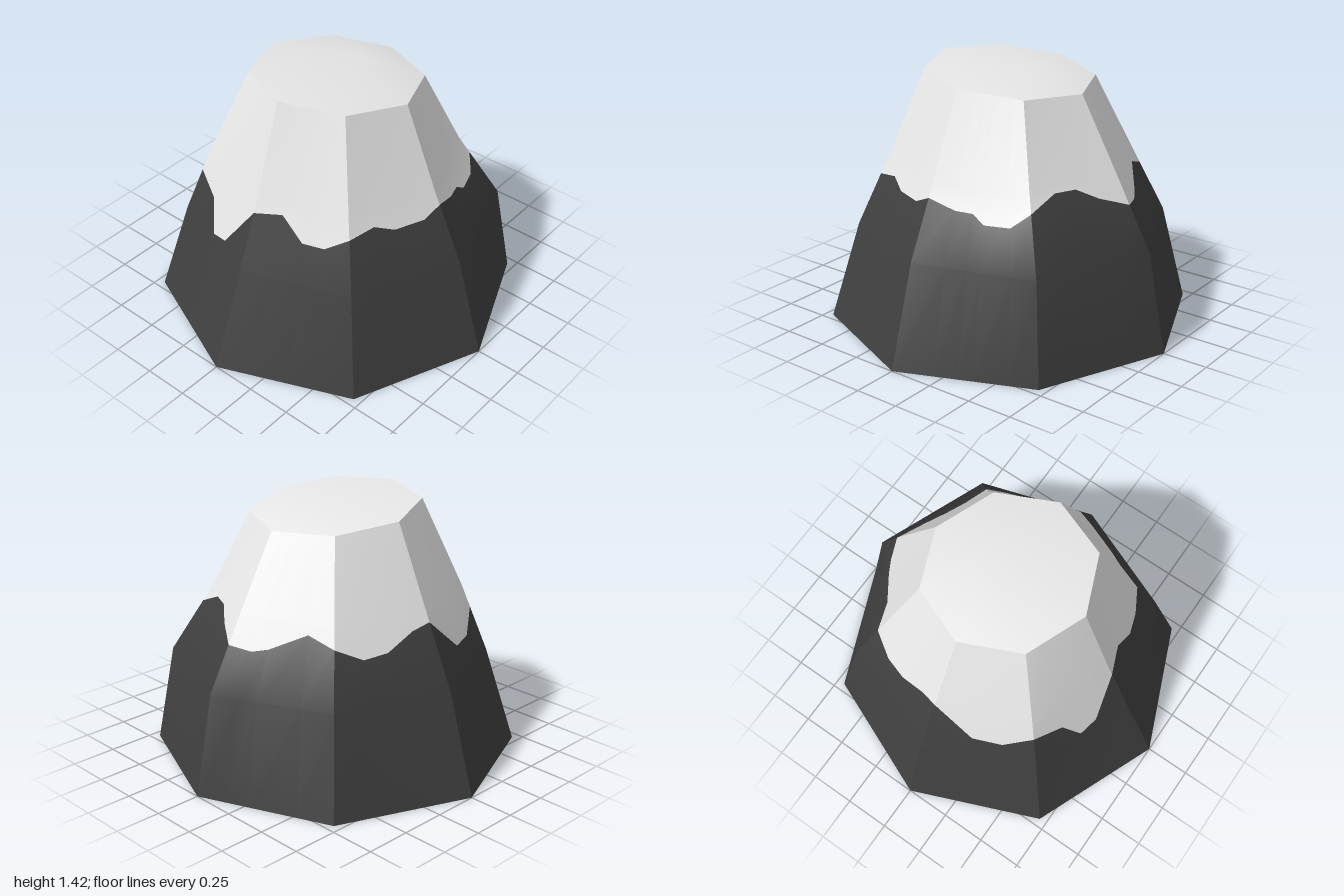
import * as THREE from 'three';
import { mergeGeometries } from 'three/addons/utils/BufferGeometryUtils.js';

const SIDES = 8, TOP_R = 0.457;
// Corner radii at heights 0, MID and HIGH, starting at +z and turning towards +x
const MID = 0.54, HIGH = 0.92;
const corners = [
  [1, 0.78, 0.63], [1, 0.835, 0.66], [1, 0.835, 0.65], [1, 0.9, 0.66],
  [1, 0.89, 0.68], [1, 0.86, 0.665], [1, 0.835, 0.66], [1, 0.83, 0.68],
];
// Snow line of each side: [fraction along the side, height]
const snowLine = [
  [[0, 0.84], [0.3, 0.865], [0.53, 0.75], [0.75, 0.75], [1, 0.82]],
  [[0, 0.82], [0.27, 0.845], [0.48, 0.8], [0.8, 0.8], [1, 0.845]],
  [[0, 0.845], [0.28, 0.8], [0.45, 0.795], [0.56, 0.75], [0.8, 0.75], [1, 0.82]],
  [[0, 0.82], [0.27, 0.89], [0.5, 0.89], [0.72, 0.83], [1, 0.775]],
  [[0, 0.775], [0.23, 0.76], [0.38, 0.78], [0.74, 0.87], [1, 0.82]],
  [[0, 0.82], [0.28, 0.755], [0.52, 0.77], [0.8, 0.85], [1, 0.88]],
  [[0, 0.88], [0.42, 0.685], [0.7, 0.685], [1, 0.79]],
  [[0, 0.79], [0.33, 0.72], [0.5, 0.56], [0.68, 0.585], [1, 0.84]],
];

// Top rim leans down towards the back
const topPoint = (i) => {
  const a = (i * Math.PI * 2) / SIDES;
  const z = TOP_R * Math.cos(a);
  return new THREE.Vector3(TOP_R * Math.sin(a), 1.363 + 0.115 * z, z);
};

// Point on a corner ridge at height y
function ridge(i, y) {
  const k = i % SIDES, [r0, r1, r2] = corners[k], top = topPoint(k);
  const r = y < MID ? THREE.MathUtils.mapLinear(y, 0, MID, r0, r1)
    : y < HIGH ? THREE.MathUtils.mapLinear(y, MID, HIGH, r1, r2)
    : THREE.MathUtils.mapLinear(y, HIGH, top.y, r2, TOP_R);
  const a = (k * Math.PI * 2) / SIDES;
  return new THREE.Vector3(r * Math.sin(a), y, r * Math.cos(a));
}

// Indexed surface through columns of points, smooth inside each side
function surface(columns) {
  const rows = columns[0].length, index = [];
  for (let c = 0; c < columns.length - 1; c++) {
    for (let r = 0; r < rows - 1; r++) {
      const a = c * rows + r, b = a + rows;
      index.push(a, b, b + 1, a, b + 1, a + 1);
    }
  }
  const g = new THREE.BufferGeometry().setFromPoints(columns.flat());
  g.setIndex(index);
  g.computeVertexNormals();
  return g;
}

// Disc fanned out from a centre point
function fan(center, ring, up) {
  const index = [];
  for (let i = 0; i < SIDES; i++) {
    const a = i + 1, b = ((i + 1) % SIDES) + 1;
    index.push(0, up ? a : b, up ? b : a);
  }
  const g = new THREE.BufferGeometry().setFromPoints([center, ...ring]);
  g.setIndex(index);
  g.computeVertexNormals();
  return g;
}

export function createModel() {
  const rock = new THREE.MeshStandardMaterial({ color: 0x3f3f3f });
  rock.name = 'darkRock';
  const snow = new THREE.MeshStandardMaterial({ color: 0xe8e8e8 });
  snow.name = 'snow';

  const group = new THREE.Group();
  group.name = 'mountain';
  const add = (name, geometry, material) => {
    const mesh = new THREE.Mesh(geometry, material);
    mesh.name = name;
    group.add(mesh);
  };

  // Eight sides, each split along its jagged snow line
  const rockSides = [], snowSides = [];
  snowLine.forEach((line, i) => {
    const at = (u, y) => ridge(i, y).lerp(ridge(i + 1, y), u);
    rockSides.push(surface(line.map(([u, y]) => [at(u, 0), at(u, MID), at(u, y)])));
    snowSides.push(surface(line.map(([u, y]) =>
      [at(u, y), at(u, HIGH), topPoint(i).lerp(topPoint(i + 1), u)])));
  });
  add('rockSlopes', mergeGeometries(rockSides), rock);
  add('snowSlopes', mergeGeometries(snowSides), snow);

  // Slightly domed summit and flat underside
  const rim = [], foot = [];
  for (let i = 0; i < SIDES; i++) {
    rim.push(topPoint(i));
    foot.push(ridge(i, 0));
  }
  add('summit', fan(new THREE.Vector3(0, 1.405, -0.15), rim, true), snow);
  add('underside', fan(new THREE.Vector3(0, 0, 0), foot, false), rock);

  return group;
}
